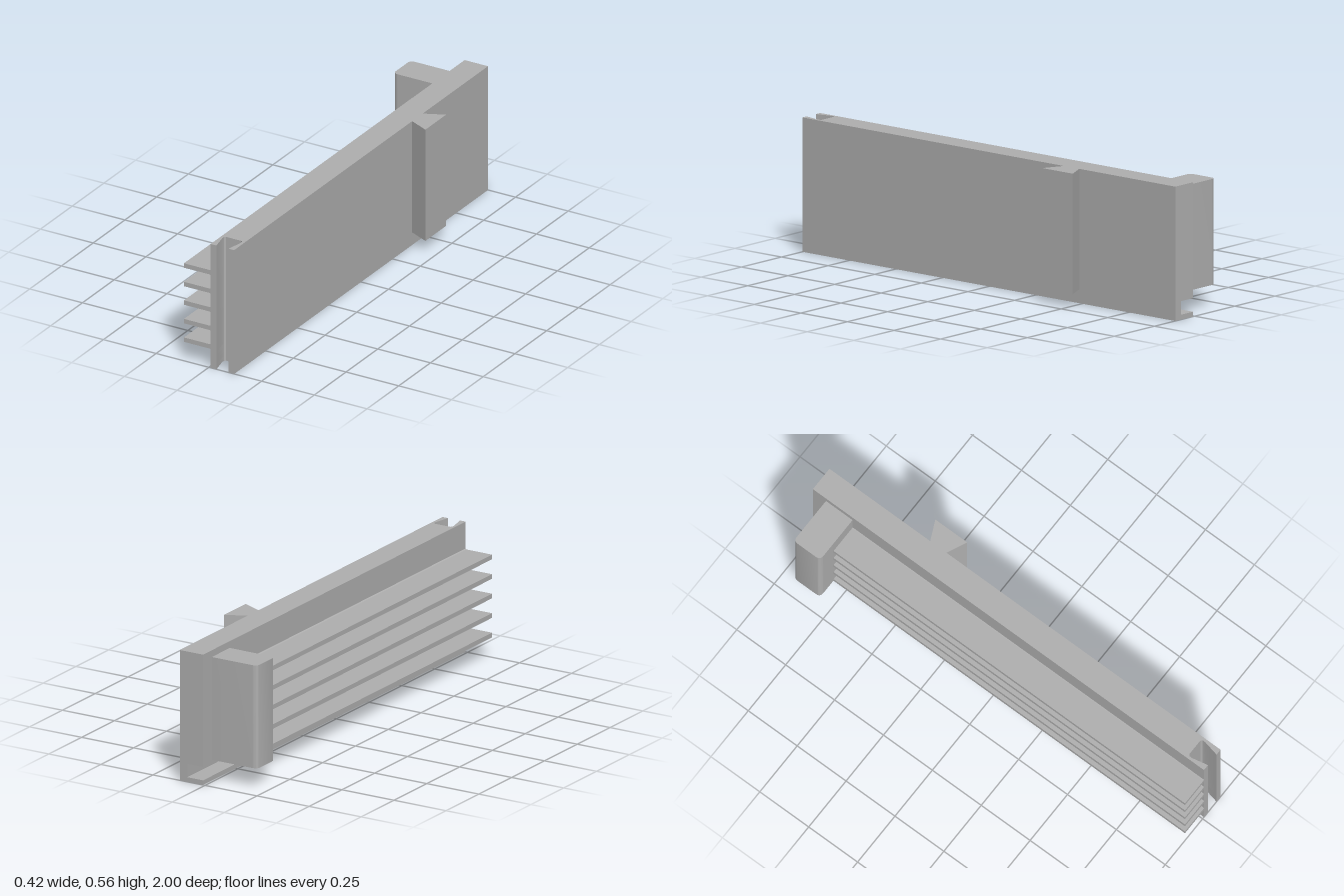
import * as THREE from 'three';
import { toCreasedNormals } from 'three/addons/utils/BufferGeometryUtils.js';

const grey = new THREE.MeshStandardMaterial({ color: 0xb0b0b0 });
grey.name = 'plain grey';

// Shape from [x, y] points
function outline(points) {
  return new THREE.Shape(points.map(([x, y]) => new THREE.Vector2(x, y)));
}

function addPart(group, name, geometry) {
  const mesh = new THREE.Mesh(toCreasedNormals(geometry, 0.6), grey);
  mesh.name = name;
  group.add(mesh);
}

// Extrude a plan shape (x, z) upward between two heights
function upright(shape, bottom, top) {
  const geometry = new THREE.ExtrudeGeometry(shape, { depth: top - bottom, bevelEnabled: false, curveSegments: 6 });
  return geometry.rotateX(Math.PI / 2).translate(0, top, 0);
}

export function createModel() {
  const group = new THREE.Group();
  group.name = 'finnedRail';

  const inner = 0.009, outer = 0.12;
  const grooveX = 0.085, grooveEnd = 0.8, grooveBottom = 0.02, grooveTop = 0.077;

  // Front end of the plate with its dovetail slot, from outer to inner side
  const slottedEnd = [
    [outer, 1], [0.093, 1], [0.108, 0.93], [0.108, 0.917], [0.102, 0.911],
    [0.027, 0.911], [0.021, 0.917], [0.021, 0.93], [0.036, 1], [inner, 1],
  ];
  const fullPlan = outline([[inner, -1], [outer, -1], ...slottedEnd]);
  const groovedPlan = outline([
    [grooveX, -1], [outer, -1], ...slottedEnd, [inner, grooveEnd], [grooveX, grooveEnd],
  ]);

  // Plate in three layers, the middle one cut back by the side groove
  addPart(group, 'plateLowerLip', upright(fullPlan, 0, grooveBottom));
  addPart(group, 'plateGrooveLayer', upright(groovedPlan, grooveBottom, grooveTop));
  addPart(group, 'plateBody', upright(fullPlan, grooveTop, 0.559));

  // Dovetail key on the outer face
  const key = outline([[outer, -0.485], [0.207, -0.525], [0.207, -0.362], [outer, -0.402]]);
  addPart(group, 'dovetailKey', upright(key, 0.057, 0.559));

  // Grip block with rounded outer edges
  const grip = new THREE.Shape();
  const x0 = -0.208, z0 = -0.933, z1 = -0.797, r = 0.022;
  grip.moveTo(inner, z0);
  grip.lineTo(inner, z1);
  grip.lineTo(x0 + r, z1);
  grip.quadraticCurveTo(x0, z1, x0, z1 - r);
  grip.lineTo(x0, z0 + r);
  grip.quadraticCurveTo(x0, z0, x0 + r, z0);
  addPart(group, 'gripBlock', upright(grip, 0.089, 0.53));

  // Five cooling fins with small flared roots
  const f = 0.004, t = 0.02;
  const finProfile = outline([
    [-0.118, 0], [inner - f, 0], [inner, -f], [inner, t + f], [inner - f, t], [-0.118, t],
  ]);
  for (let i = 0; i < 5; i++) {
    const fin = new THREE.ExtrudeGeometry(finProfile, { depth: 1.797, bevelEnabled: false });
    fin.translate(0, 0.0855 + i * 0.0837, -0.797);
    addPart(group, 'fin' + (i + 1), fin);
  }

  return group;
}
